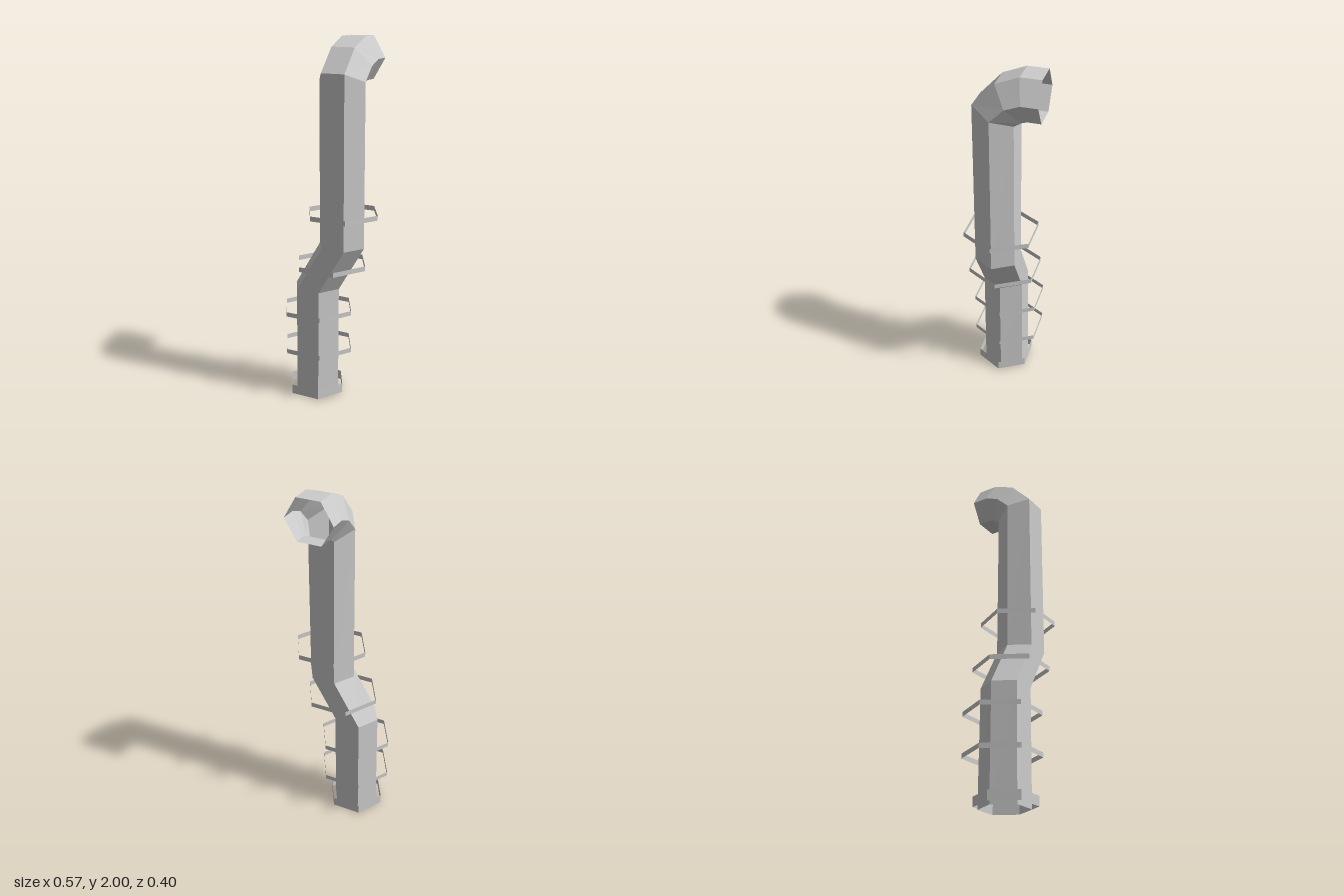
import * as THREE from 'three';

const grey = new THREE.MeshStandardMaterial({ color: 0xcccccc, side: THREE.DoubleSide, flatShading: true });
grey.name = 'paleGrey';

// Hexagonal section: corners point along x; front, middle and back are [z, y].
function hexSection(cx, r, front, middle, back) {
  const corners = [[r, middle], [r / 2, front], [-r / 2, front], [-r, middle], [-r / 2, back], [r / 2, back]];
  return corners.map(([x, [z, y]]) => [cx + x, y, z]);
}

// Level hexagonal section
function levelSection(cx, y, cz, r, half = r * Math.sqrt(3) / 2) {
  return hexSection(cx, r, [cz + half, y], [cz, y], [cz - half, y]);
}

// Open-ended skin through a list of sections
function loft(name, sections) {
  const points = [];
  for (let s = 0; s < sections.length - 1; s++) {
    const low = sections[s], high = sections[s + 1];
    for (let i = 0; i < 6; i++) {
      const j = (i + 1) % 6;
      points.push(...low[i], ...high[i], ...low[j], ...low[j], ...high[i], ...high[j]);
    }
  }
  const geometry = new THREE.BufferGeometry();
  geometry.setAttribute('position', new THREE.Float32BufferAttribute(points, 3));
  geometry.computeVertexNormals();
  const mesh = new THREE.Mesh(geometry, grey);
  mesh.name = name;
  return mesh;
}

export function createModel() {
  const group = new THREE.Group();
  group.name = 'drainPipe';

  // Pipe: straight foot, sideways jog, tall riser, then an elbow opening to the back
  const r = 0.134, top = 0.075;
  group.add(loft('pipe', [
    levelSection(-0.081, 0, 0.039, r, 0.116),
    levelSection(-0.076, 0.635, 0.041, r, 0.112),
    levelSection(top, 0.89, 0.041, r, 0.111),
    hexSection(top, r, [0.15, 1.824], [0.042, 1.779], [-0.063, 1.738]),
    hexSection(top, r, [0.033, 1.95], [-0.032, 1.854], [-0.1, 1.762]),
    hexSection(top, r, [-0.09, 2], [-0.112, 1.885], [-0.128, 1.772]),
    hexSection(top, r, [-0.2, 2], [-0.2, 1.885], [-0.2, 1.772]),
  ]));

  // Thin open bands around the pipe: [name, x, z, radius, bottom, top]
  const bands = [
    ['footCollar', -0.08, 0.046, 0.164, 0.013, 0.066],
    ['lowerBand', -0.081, 0.024, 0.207, 0.262, 0.288],
    ['upperFootBand', -0.081, 0.024, 0.207, 0.484, 0.51],
    ['jogBand', 0.003, 0.024, 0.207, 0.759, 0.786],
    ['riserBand', 0.073, 0.024, 0.207, 1.053, 1.08],
  ];
  for (const [name, x, z, radius, y0, y1] of bands) {
    group.add(loft(name, [levelSection(x, y0, z, radius), levelSection(x, y1, z, radius)]));
  }
  return group;
}
